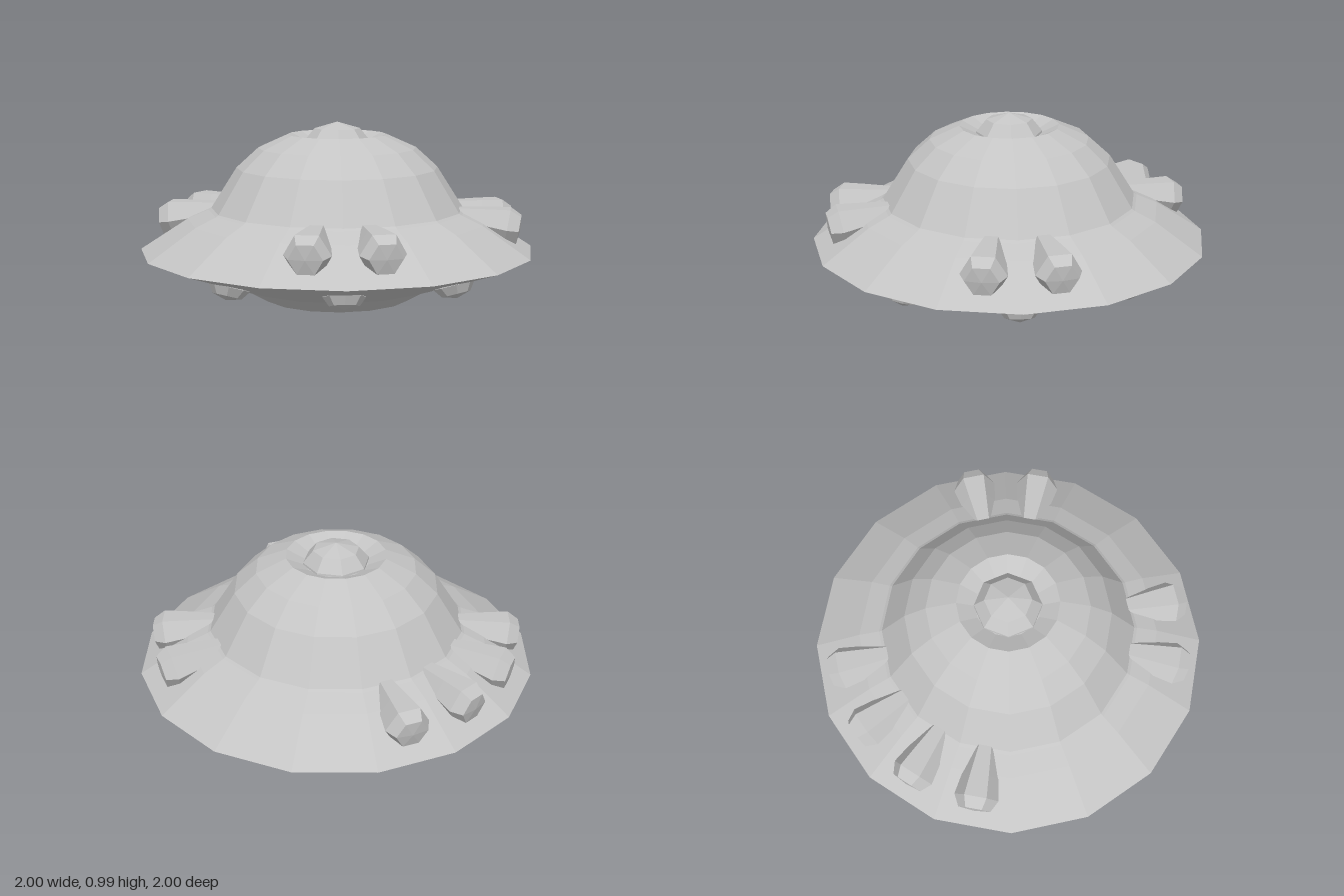
import * as THREE from 'three';

export function createModel() {
  const model = new THREE.Group();
  model.name = 'flyingSaucer';
  const grey = new THREE.MeshStandardMaterial({ color: 0xc4c4c4, flatShading: true });
  grey.name = 'hull grey';

  // Faceted solid of revolution; the profile runs from bottom to top
  const turned = (profile, sides, phase = 0) =>
    new THREE.LatheGeometry(profile.map(([r, y]) => new THREE.Vector2(r, y)), sides, phase);

  const add = (name, geometry, parent = model) => {
    const mesh = new THREE.Mesh(geometry, grey);
    mesh.name = name;
    parent.add(mesh);
    return mesh;
  };

  // Saucer with a recess around the lower bulb
  add('saucer', turned([
    [0, 0.14], [0.2, 0.14], [0.38, 0.09], [0.52, 0.17], [1, 0.34],
    [0.76, 0.495], [0.655, 0.54],
  ], 16));

  // Dome with a shallow dish at its top
  add('dome', turned([
    [0.655, 0.54], [0.64, 0.55], [0.51, 0.755], [0.4, 0.855], [0.25, 0.922],
    [0.16, 0.88], [0, 0.88],
  ], 16));

  // Bulbs at the top and underneath
  add('topBulb', turned([[0.168, 0.87], [0.165, 0.89], [0.115, 0.952], [0, 0.985]], 8));
  add('bottomBulb', turned([[0, 0], [0.155, 0.045], [0.21, 0.12], [0.21, 0.15]], 8));

  // Eight lamps set square to the sloping underside
  const lamp = turned([[0, -0.062], [0.07, -0.042], [0.1, 0], [0.07, 0.04], [0, 0.05]], 8);
  for (let i = 0; i < 8; i++) {
    const arm = new THREE.Group();
    arm.name = 'lampArm';
    arm.rotation.y = i * Math.PI / 4;
    const mesh = add('lamp', lamp, arm);
    mesh.position.set(0, 0.255, 0.75);
    mesh.rotation.x = -0.34;
    model.add(arm);
  }

  // Six-sided pods lying on the upper slope, flaring outward
  const pod = turned([
    [0, -0.02], [0.06, 0], [0.09, 0.15], [0.11, 0.26], [0.08, 0.318], [0, 0.326],
  ], 6, Math.PI / 6);
  pod.rotateX(Math.PI / 2);
  // Slots are sixteenths of a turn, counted from the front towards +x
  for (const slot of [-0.5, 0.5, 3.5, 4.5, 8.5, 9.5, 10.5, 11.5]) {
    const arm = new THREE.Group();
    arm.name = 'podArm';
    arm.rotation.y = slot * Math.PI / 8;
    const mesh = add('pod', pod, arm);
    mesh.position.set(0, 0.51, 0.605);
    mesh.rotation.x = 0.165;
    model.add(arm);
  }
  return model;
}
